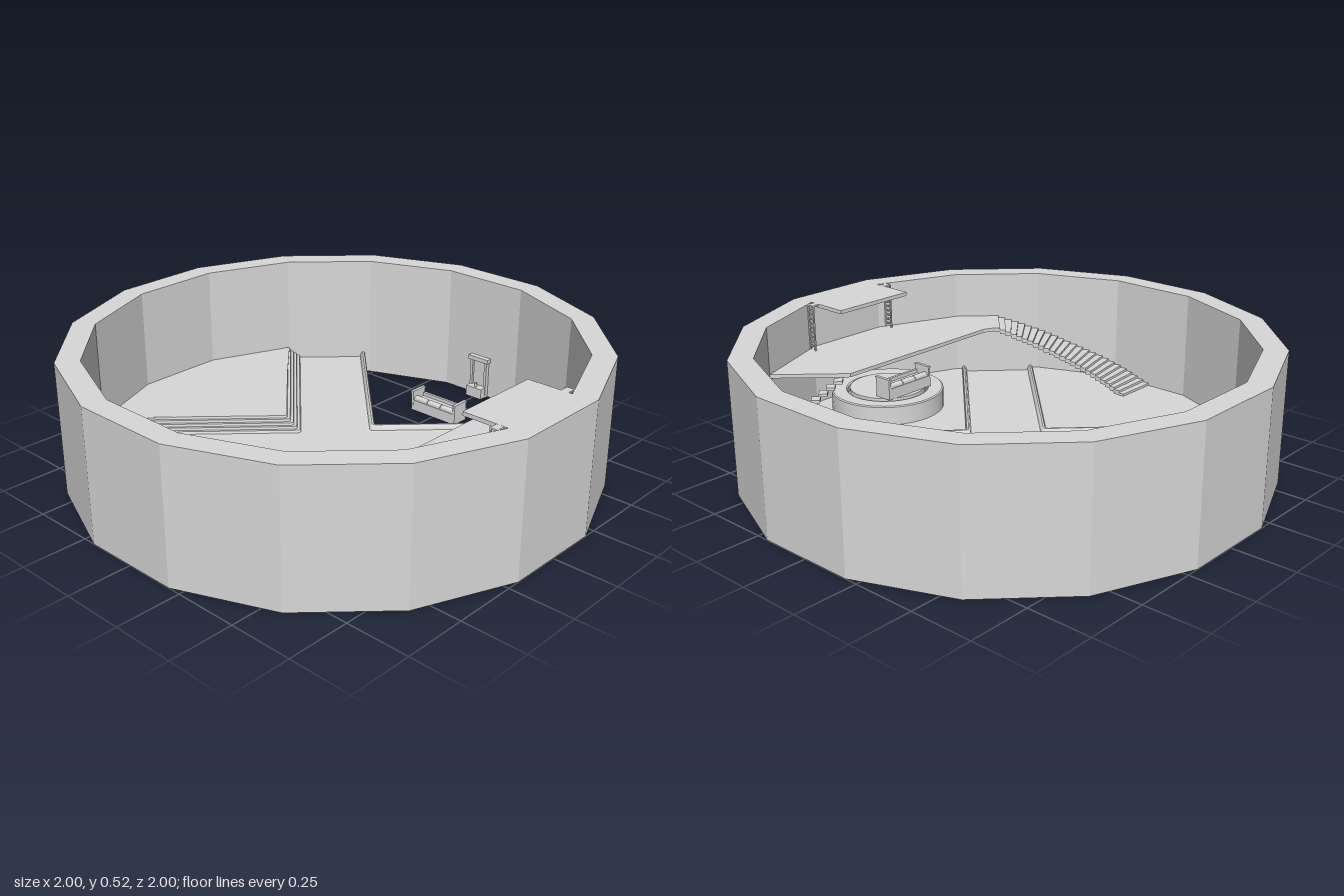
import * as THREE from 'three';
import { toCreasedNormals } from 'three/addons/utils/BufferGeometryUtils.js';

const INNER = 0.91, ROAD_Y = 0.072, LOW_Y = 0.085, HIGH_Y = 0.121, DECK_Y = 0.33, TOP = 0.52;
const R = Math.SQRT1_2;

export function createModel() {
  const root = new THREE.Group();
  const stone = new THREE.MeshStandardMaterial({ color: 0xd8d8d8, side: THREE.DoubleSide });
  stone.name = 'light grey stone';

  const add = (parent, name, geo, x = 0, y = 0, z = 0, ry = 0) => {
    const m = new THREE.Mesh(geo, stone);
    m.name = name;
    m.position.set(x, y, z);
    m.rotation.y = ry;
    parent.add(m);
    return m;
  };
  const box = (parent, name, w, h, d, x, y, z, ry = 0) =>
    add(parent, name, new THREE.BoxGeometry(w, h, d), x, y + h / 2, z, ry);
  const group = (name, x = 0, y = 0, z = 0, ry = 0) => {
    const g = new THREE.Group();
    g.name = name;
    g.position.set(x, y, z);
    g.rotation.y = ry;
    root.add(g);
    return g;
  };

  // Horizontal slab from [x, z] points, with its top at the given height
  const slab = (pts, top, thick, hole) => {
    const v = pts.map(([x, z]) => new THREE.Vector2(x, -z));
    const s = new THREE.Shape(v);
    if (hole) s.holes.push(new THREE.Path(hole.map(([x, z]) => new THREE.Vector2(x, -z))));
    const g = new THREE.ExtrudeGeometry(s, { depth: thick, bevelEnabled: false });
    return g.rotateX(-Math.PI / 2).translate(0, top - thick, 0);
  };
  // Corner of a sixteen-sided ring, angle in degrees from +z towards +x
  const corner = (apothem, deg) => {
    const r = apothem / Math.cos(Math.PI / 16), a = THREE.MathUtils.degToRad(deg);
    return [r * Math.sin(a), r * Math.cos(a)];
  };
  const ring = a => Array.from({ length: 16 }, (_, i) => corner(a, 11.25 + 22.5 * i));

  // Enclosing wall
  add(root, 'ringWall', slab(ring(1), TOP, TOP, ring(INNER)));

  // Crossing roads
  const h = 0.142, L = 0.915;
  const cross = [[h, h], [L, h], [L, -h], [h, -h], [h, -L], [-h, -L],
    [-h, -h], [-L, -h], [-L, h], [-h, h], [-h, L], [h, L]];
  add(root, 'crossRoad', slab(cross, ROAD_Y, 0.006), 0, 0, 0, Math.PI / 4);

  // Kerb: sweeps an [offset, height] profile along a V with a slightly rounded tip
  const kerb = profile => {
    const stations = [], n = 6, f = 0.014;
    for (let i = 0; i <= n; i++) {
      const a = -Math.PI / 4 + (Math.PI / 2) * i / n;
      const N = [Math.sin(a), Math.cos(a)];
      if (i === 0) stations.push({ N, side: 1 });
      stations.push({ N, side: 0 });
      if (i === n) stations.push({ N, side: -1 });
    }
    const pos = [], idx = [], k = profile.length;
    stations.forEach(({ N, side }, i) => profile.forEach(([o, y], j) => {
      const reach = (L - o - f) * R;
      pos.push(side * reach - f * N[0], y, (o + f) * Math.SQRT2 + Math.abs(side) * reach - f * N[1]);
      if (i && j) {
        const q = i * k + j, p = q - k;
        idx.push(p - 1, p, q - 1, p, q, q - 1);
      }
    }));
    const g = new THREE.BufferGeometry();
    g.setAttribute('position', new THREE.Float32BufferAttribute(pos, 3));
    g.setIndex(idx);
    g.computeVertexNormals();
    return toCreasedNormals(g, 0.6);
  };
  const lip = [[0.128, 0.073], [0.137, 0.076], [0.141, 0.09], [0.147, 0.096],
    [0.154, 0.096], [0.158, 0.09], [0.158, 0.07]];
  const steps = [[0.133, 0.07]];
  for (let i = 0; i < 5; i++) {
    const y = ROAD_Y + (i + 1) * 0.01, o = 0.135 + i * 0.013;
    steps.push([o + 0.002, y], [o + 0.013, y]);
  }

  // Floor wedges between the roads; the back one stays open, the right one has steps
  const wedges = [['front', 0, 1], ['right', -Math.PI / 2, 0], ['back', Math.PI, 1], ['left', Math.PI / 2, 1]];
  for (const [name, turn, lipped] of wedges) {
    const o = lipped ? 0.154 : 0.2;
    add(root, name + 'Kerb', kerb(lipped ? lip : steps), 0, 0, 0, turn);
    if (name === 'back') continue;
    const pts = [[0, o * Math.SQRT2]];
    if (lipped) pts.push([(INNER - o) * R, (INNER + o) * R]);
    for (const d of [33.75, 11.25, -11.25, -33.75]) pts.push(corner(INNER, d));
    if (lipped) pts.push([-(INNER - o) * R, (INNER + o) * R]);
    add(root, name + 'Floor', slab(pts, lipped ? LOW_Y : HIGH_Y, 0.006), 0, 0, 0, turn);
  }

  // Raised deck along one side and the lookout flush with the wall top
  add(root, 'deck', slab([[0.55, -0.3], [0.55, 0.46], [0.53, 0.505], [0.67, 0.637], [0.775, 0.52],
    [0.915, 0.18], [0.915, -0.18], [0.775, -0.52]], DECK_Y, 0.015));
  box(root, 'lookout', 0.19, 0.015, 0.36, 0.825, TOP - 0.015, 0);

  // Curved stair
  const stair = group('curvedStair');
  const count = 25, sweep = THREE.MathUtils.degToRad(46.5);
  for (let i = 0; i < count; i++) {
    const a0 = sweep * i / count, a1 = sweep * (i + 1) / count;
    const at = (r, a) => [r * Math.sin(a), r * Math.cos(a)];
    const y = LOW_Y + (DECK_Y - LOW_Y) * (i + 1) / count;
    add(stair, 'tread', slab([at(0.73, a0), at(0.918, a0), at(0.918, a1), at(0.73, a1)], y, 0.018));
  }

  // Narrow straight stair from the back of the deck down to the wall
  const back = group('narrowStair');
  for (let i = 0; i < 9; i++) {
    const t = i / 8;
    box(back, 'tread', 0.034, 0.012, 0.045, 0.57 + 0.17 * t, 0.3 - 0.2 * t, -0.345 - 0.17 * t, Math.PI / 4);
  }

  // Ladders at both sides of the lookout
  for (const s of [1, -1]) {
    const g = group('ladder', 0.88, 0, 0.21 * s);
    for (const x of [-0.016, 0.016]) box(g, 'rail', 0.006, TOP - DECK_Y, 0.006, x, DECK_Y, 0);
    for (let i = 0; i < 9; i++) box(g, 'rung', 0.03, 0.005, 0.008, 0, DECK_Y + 0.015 + i * 0.019, 0);
    box(g, 'bracket', 0.03, 0.006, 0.035, 0, TOP - 0.006, -0.012 * s);
  }

  // Round basin with a central plinth below the deck
  const profile = [[0.23, LOW_Y], [0.23, 0.16], [0.225, 0.164], [0.17, 0.164], [0.165, 0.16],
    [0.165, 0.135], [0.155, 0.135], [0.155, 0.17], [0, 0.17]].map(p => new THREE.Vector2(...p));
  add(root, 'basin', toCreasedNormals(new THREE.LatheGeometry(profile, 40), 0.6), 0.67, 0, 0);

  // Bench with three cushions, used twice
  const bench = (name, x, y, z, ry) => {
    const g = group(name, x, y, z, ry);
    box(g, 'seat', 0.22, 0.045, 0.075, 0, 0, 0);
    box(g, 'backrest', 0.22, 0.06, 0.012, 0, 0, -0.034);
    for (const s of [-1, 1]) {
      box(g, 'endPanel', 0.01, 0.08, 0.076, 0.11 * s, 0, 0);
      box(g, 'endCap', 0.014, 0.008, 0.08, 0.11 * s, 0.078, 0);
    }
    for (const i of [-1, 0, 1]) {
      const c = new THREE.CylinderGeometry(0.015, 0.015, 0.066, 12).rotateZ(Math.PI / 2);
      add(g, 'cushion', toCreasedNormals(c, 0.7), i * 0.069, 0.046, 0.02);
    }
  };
  bench('backBench', 0, 0, -0.625, 0);
  bench('basinBench', 0.573, 0.17, 0, -Math.PI / 2);

  // Wall fountain
  const f = group('wallFountain', 0, 0, -0.91);
  box(f, 'trough', 0.08, 0.045, 0.045, 0, 0, 0.0225);
  box(f, 'backPanel', 0.07, 0.16, 0.008, 0, 0, 0.004);
  for (const s of [-1, 1]) box(f, 'post', 0.012, 0.16, 0.018, 0.036 * s, 0, 0.009);
  box(f, 'lintel', 0.1, 0.018, 0.024, 0, 0.16, 0.012);
  add(f, 'spout', new THREE.CylinderGeometry(0.006, 0.006, 0.02, 10), 0, 0.052, 0.03);

  return root;
}
